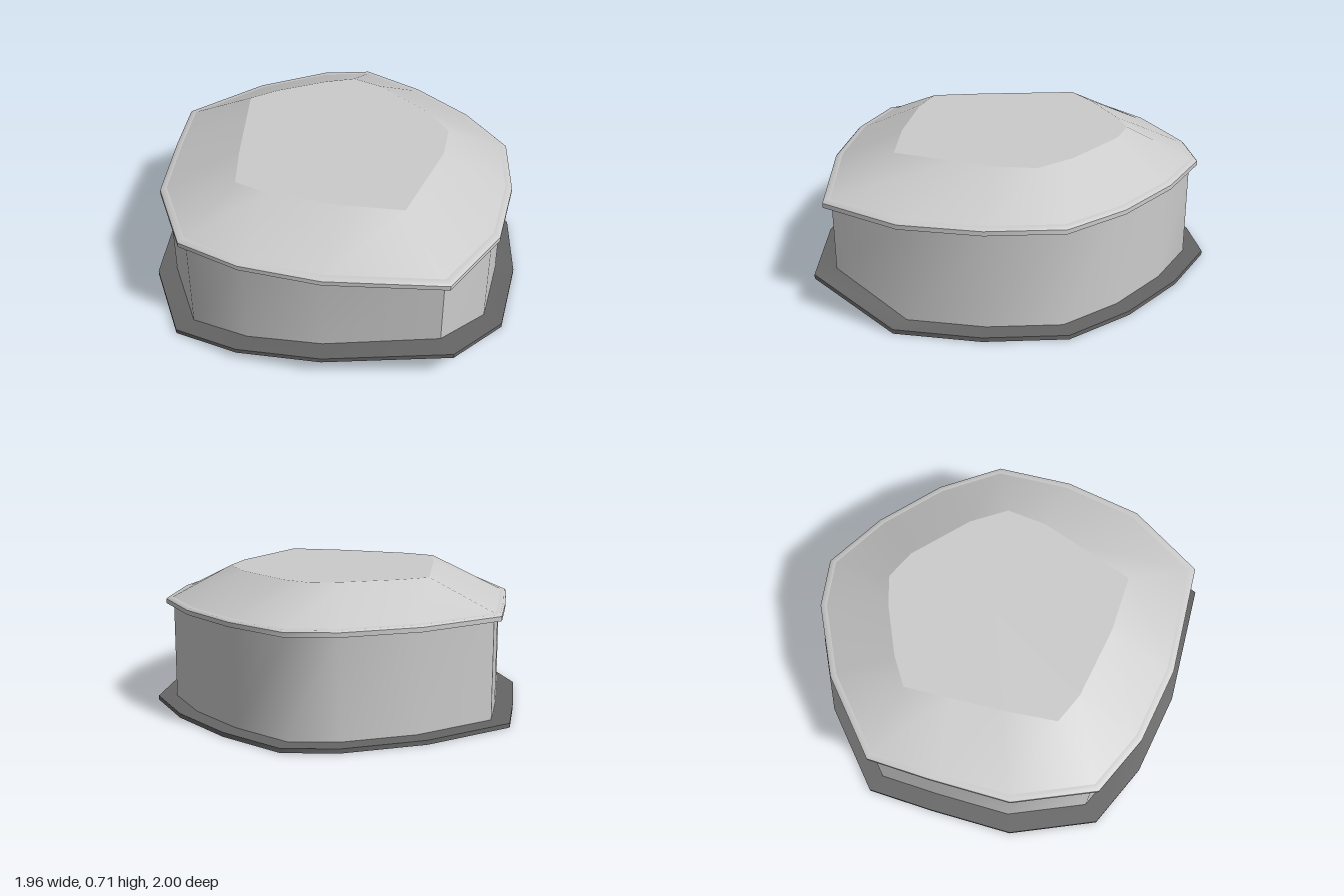
import * as THREE from 'three';
import { toCreasedNormals } from 'three/addons/utils/BufferGeometryUtils.js';

// Plan outline [x, z], from the back point round by the left side
const OUTLINE = [
  [-0.07, -1.0], [0.28, -0.87], [0.62, -0.66], [0.885, -0.4], [0.975, 0],
  [0.975, 0.43], [0.8, 0.865], [0.19, 0.995], [-0.24, 0.995], [-0.59, 0.905],
  [-0.85, 0.515], [-0.93, 0.08], [-0.98, -0.265], [-0.67, -0.66], [-0.33, -0.915],
];
// Edge of the flat roof panel, point for point with the outline
const ROOF = [
  [-0.06, -0.57], [0.1, -0.53], [0.4, -0.34], [0.545, -0.19], [0.56, 0.02],
  [0.53, 0.2], [0.475, 0.53], [0.18, 0.57], [-0.2, 0.57], [-0.37, 0.53],
  [-0.44, 0.27], [-0.5, 0], [-0.55, -0.225], [-0.43, -0.34], [-0.2, -0.5],
];
// Lift of the base where its front left corner is raised
const LIFT = OUTLINE.map((p, i) => ({ 6: 0.16, 7: 0.093, 8: 0.043 }[i] ?? 0));

// Ring of points from a plan, scaled, at height y plus an optional lift
function ring(plan, scale, y, lift) {
  return plan.map(([x, z], i) => [x * scale, y + (lift ? lift[i] : 0), z * scale]);
}

// Skin joining successive rings; rings run upwards on the outside
function loft(name, rings, color = 0xcccccc, crease = 0.75) {
  const pos = [];
  for (let k = 0; k < rings.length - 1; k++) {
    const a = rings[k], b = rings[k + 1];
    for (let i = 0; i < a.length; i++) {
      const j = (i + 1) % a.length;
      pos.push(...a[i], ...b[i], ...a[j]);
      if (b[i].some((v, n) => v !== b[j][n])) pos.push(...b[i], ...b[j], ...a[j]);
    }
  }
  const geo = new THREE.BufferGeometry();
  geo.setAttribute('position', new THREE.Float32BufferAttribute(pos, 3));
  const mesh = new THREE.Mesh(
    toCreasedNormals(geo, crease),
    new THREE.MeshStandardMaterial({ color, side: THREE.DoubleSide })
  );
  mesh.name = name;
  return mesh;
}

export function createModel() {
  const group = new THREE.Group();
  group.name = 'liddedShell';

  // Thin base flange, open in the middle
  const innerBottom = ring(OUTLINE, 0.9, 0, LIFT);
  group.add(loft('baseFlange', [
    innerBottom,
    ring(OUTLINE, 1, 0, LIFT),
    ring(OUTLINE, 1, 0.022, LIFT),
    ring(OUTLINE, 0.9, 0.022, LIFT),
    innerBottom,
  ], 0x666666));

  // Upright wall following the base
  group.add(loft('wall', [
    ring(OUTLINE, 0.9, 0.02, LIFT),
    ring(OUTLINE, 0.9, 0.53),
  ]));

  // Overhanging rim of the lid
  group.add(loft('lidRim', [
    ring(OUTLINE, 0.9, 0.525),
    ring(OUTLINE, 0.94, 0.525),
    ring(OUTLINE, 0.94, 0.548),
    ring(OUTLINE, 0.93, 0.557),
    ring(OUTLINE, 0.905, 0.559),
  ]));

  // Sloping lid, hollow underneath
  group.add(loft('lidSlope', [
    ring(OUTLINE, 0.905, 0.559),
    ring(ROOF, 1, 0.715),
  ]));

  // Flat roof panel
  group.add(loft('roofPanel', [
    ring(ROOF, 1, 0.715),
    ring(ROOF, 0, 0.715),
  ]));

  return group;
}
